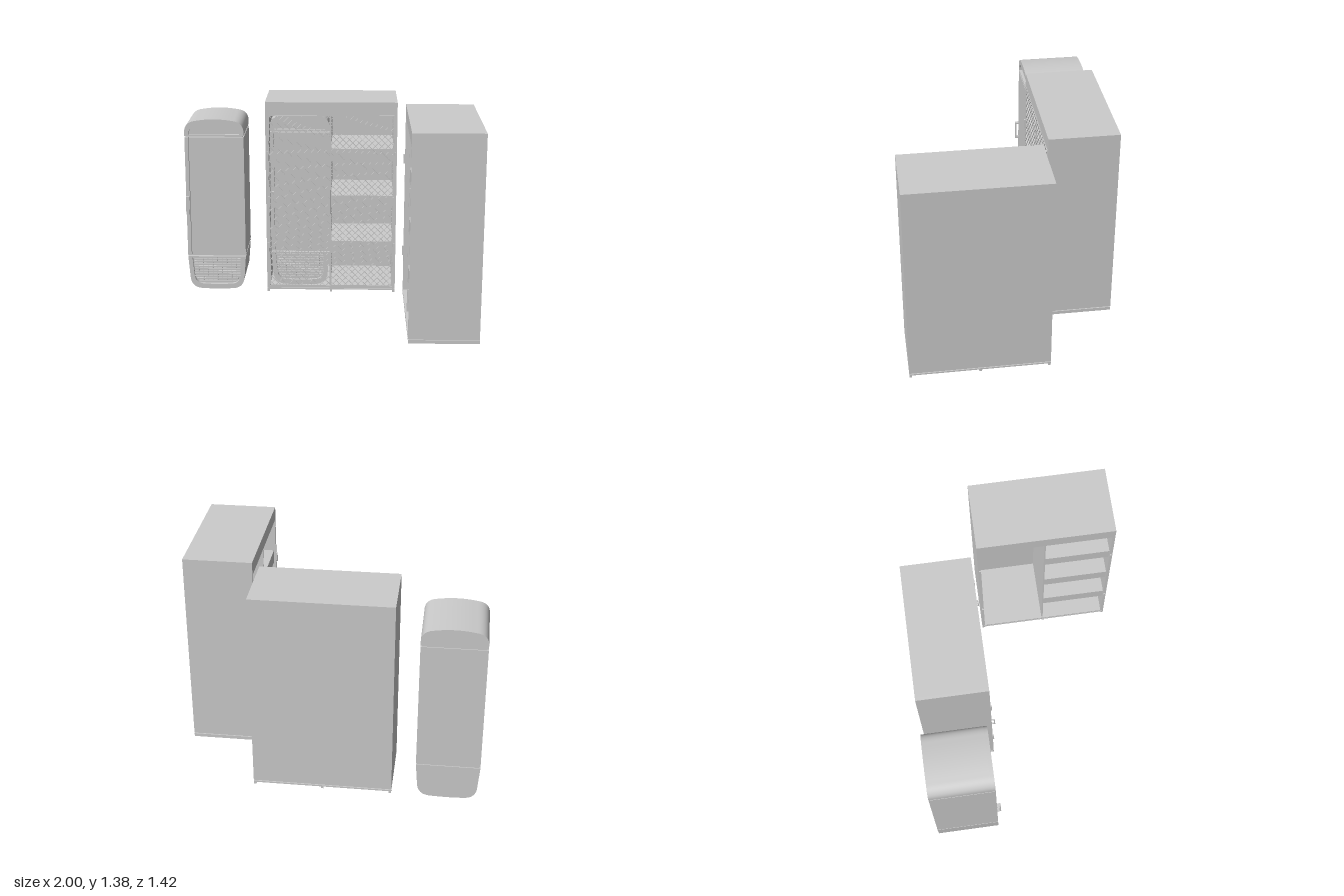
import * as THREE from 'three';
import { mergeGeometries, toCreasedNormals } from 'three/addons/utils/BufferGeometryUtils.js';

const material = new THREE.MeshStandardMaterial({ color: 0xcccccc });

function add(parent, name, geometry, x = 0, y = 0, z = 0) {
  const mesh = new THREE.Mesh(geometry, material);
  mesh.name = name;
  mesh.position.set(x, y, z);
  parent.add(mesh);
  return mesh;
}

// Box given by its limits on each axis
function box(parent, name, x0, x1, y0, y1, z0, z1) {
  return add(parent, name, new THREE.BoxGeometry(x1 - x0, y1 - y0, z1 - z0),
    (x0 + x1) / 2, (y0 + y1) / 2, (z0 + z1) / 2);
}

// Smooth extrusion between two z values
function extrude(parent, name, shape, z0, z1) {
  const g = new THREE.ExtrudeGeometry(shape, { depth: z1 - z0, bevelEnabled: false, curveSegments: 12 });
  return add(parent, name, toCreasedNormals(g, 0.5), 0, 0, z0);
}

// Domed outline: flat bottom edge at y0, shoulders and a slightly bowed top
function domeShape(Type, half, y0, y1, shoulder, bow) {
  const s = new Type();
  s.moveTo(-half, y0);
  s.lineTo(half, y0);
  s.lineTo(half, y1 - shoulder - bow);
  s.quadraticCurveTo(half, y1 - bow, half - shoulder * 1.1, y1 - bow * 0.6);
  s.quadraticCurveTo(0, y1 + bow * 0.5, -half + shoulder * 1.1, y1 - bow * 0.6);
  s.quadraticCurveTo(-half, y1 - bow, -half, y1 - shoulder - bow);
  s.closePath();
  return s;
}

// Bottom outline: flat top edge at y1, rounded and slightly tapered lower corners
function tubShape(Type, half, y0, y1, r) {
  const s = new Type();
  s.moveTo(half, y1);
  s.lineTo(-half, y1);
  s.lineTo(-half + 0.012, y0 + r);
  s.quadraticCurveTo(-half + 0.018, y0 + r * 0.12, -half + r, y0 + 0.004);
  s.quadraticCurveTo(0, y0 - 0.004, half - r, y0 + 0.004);
  s.quadraticCurveTo(half - 0.018, y0 + r * 0.12, half - 0.012, y0 + r);
  s.closePath();
  return s;
}

// Square-section pull handle in the y-z plane
function handle(parent, name, x, width, y0, y1, z0, z1, t) {
  const g = new THREE.Group();
  g.name = name;
  box(g, 'grip', x - width / 2, x + width / 2, y0, y1, z1 - t, z1);
  for (const y of [y0, y1 - t]) box(g, 'handleMount', x - width / 2, x + width / 2, y, y + t, z0, z1 - t);
  parent.add(g);
}

function createFridge() {
  const g = new THREE.Group();
  g.name = 'fridge';
  const H = 0.2075, back = -0.21, front = 0.21, recess = 0.185;

  // Top cap with a recessed front panel
  extrude(g, 'topCap', domeShape(THREE.Shape, H, 1.13, 1.25, 0.075, 0.02), back, recess);
  const capFront = domeShape(THREE.Shape, H, 1.13, 1.25, 0.075, 0.02);
  capFront.holes.push(domeShape(THREE.Path, H - 0.032, 1.14, 1.205, 0.042, 0.01));
  extrude(g, 'topCapRim', capFront, recess, front);

  // Inner core showing in the seams between the sections
  box(g, 'seamCore', -H + 0.008, H - 0.008, 0.235, 1.14, back + 0.006, recess);

  // Middle body, door and handle strip
  box(g, 'body', -H, H, 0.255, 1.12, back, recess);
  box(g, 'handleStrip', -H, -H + 0.026, 0.255, 1.12, recess, front);
  box(g, 'door', -H + 0.032, H, 0.255, 1.12, recess, front);
  handle(g, 'fridgeHandle', -H + 0.012, 0.024, 0.565, 0.695, front, 0.236, 0.01);

  // Rounded base with a framed grille
  extrude(g, 'base', tubShape(THREE.Shape, H, 0, 0.245, 0.09), back, recess);
  const rim = tubShape(THREE.Shape, H, 0, 0.245, 0.09);
  rim.holes.push(tubShape(THREE.Path, H - 0.03, 0.035, 0.235, 0.07));
  extrude(g, 'baseRim', rim, recess, front);
  for (let i = 0; i < 10; i++) {
    const y = 0.05 + i * 0.0185;
    const half = H - 0.042 - (i < 2 ? 0.03 - i * 0.015 : 0);
    box(g, 'grilleSlat', -half, half, y, y + 0.008, recess, recess + 0.014);
  }
  for (let i = -4; i <= 4; i++) {
    box(g, 'grilleBar', i * 0.034 - 0.002, i * 0.034 + 0.002, 0.045, 0.23, recess, recess + 0.009);
  }
  return g;
}

// Diamond wire mesh clipped to a rectangle
function wireMesh(x0, x1, y0, y1, z) {
  const wires = [], step = 0.045, w = x1 - x0, h = y1 - y0;
  for (const side of [1, -1]) {
    for (let c = -w + step / 2; c < h; c += step) {
      const a = Math.max(0, -c), b = Math.min(w, h - c), len = (b - a) * Math.SQRT2;
      if (len < 0.005) continue;
      const wire = new THREE.BoxGeometry(len, 0.004, 0.003);
      wire.rotateZ(side * Math.PI / 4);
      const mid = (a + b) / 2;
      wire.translate(side > 0 ? x0 + mid : x1 - mid, y0 + mid + c, z + side * 0.001);
      wires.push(wire);
    }
  }
  return mergeGeometries(wires);
}

function createCabinet() {
  const g = new THREE.Group();
  g.name = 'cabinet';
  const W = 0.4575, D = 0.23, bottom = 0.03, top = 1.38, side = 0.02;

  // Carcass
  for (const s of [-1, 1]) {
    add(g, 'sidePanel', new THREE.BoxGeometry(side, top - bottom, 2 * D), s * (W - side / 2), (top + bottom) / 2, 0);
  }
  box(g, 'topPanel', -W + side, W - side, 1.29, top, -D, D);
  box(g, 'floorPanel', -W + side, W - side, bottom, 0.042, -D, D);
  box(g, 'backPanel', -W + side, W - side, 0.042, 1.29, -D, -D + 0.01);
  box(g, 'divider', -0.01, 0, 0.042, 1.29, -D + 0.01, D - 0.01);

  // Shelves in the right half
  for (const y of [0.285, 0.622, 0.96]) {
    box(g, 'shelf', 0, W - side, y, y + 0.09, -D + 0.01, D - 0.015);
  }

  // Base plate and runners
  box(g, 'plinth', -W + 0.008, W - 0.008, 0.024, bottom, -D + 0.008, D - 0.008);
  box(g, 'basePlate', -W, W, 0.014, 0.024, -D, D);
  for (const x of [-W + 0.009, 0, W - 0.009]) box(g, 'runner', x - 0.008, x + 0.008, 0, 0.014, -D, D);

  // Hinges
  for (const s of [-1, 1]) for (const y of [0.333, 0.998]) {
    add(g, 'hinge', new THREE.BoxGeometry(0.012, 0.066, 0.012), s * (W - 0.013), y, D + 0.004);
  }
  return g;
}

// Pair of mesh doors with slim frames and handles
function createDoors() {
  const g = new THREE.Group();
  g.name = 'meshDoors';
  const y0 = 0.043, y1 = 1.289, z0 = 0.224, z1 = 0.232, t = 0.006;
  for (const [x0, x1] of [[-0.437, -0.006], [-0.004, 0.437]]) {
    for (const x of [x0, x1 - t]) box(g, 'doorStile', x, x + t, y0, y1, z0, z1);
    for (const y of [y0, y1 - t]) box(g, 'doorRail', x0 + t, x1 - t, y, y + t, z0, z1);
    add(g, 'wireMesh', wireMesh(x0 + t, x1 - t, y0 + t, y1 - t, 0.229));
  }
  for (const s of [-1, 1]) handle(g, 'doorHandle', s * 0.436, 0.008, 0.622, 0.71, z1, 0.255, 0.007);
  return g;
}

export function createModel() {
  const model = new THREE.Group();
  model.name = 'fridgeAndCabinets';

  // Free-standing fridge
  const fridge = createFridge();
  fridge.position.set(-0.7925, 0, -0.5);
  model.add(fridge);

  // Full cabinet: mesh doors and a built-in fridge
  const cabinet = createCabinet();
  cabinet.name = 'closedCabinet';
  cabinet.position.set(0.0275, 0, -0.48);
  const inner = createFridge();
  inner.name = 'builtInFridge';
  inner.position.set(-0.22, 0.042, -0.01);
  cabinet.add(inner, createDoors());
  model.add(cabinet);

  // Empty open cabinet turned sideways
  const open = createCabinet();
  open.name = 'openCabinet';
  open.rotation.y = -Math.PI / 2;
  open.position.set(0.77, 0, 0.25);
  model.add(open);

  return model;
}
